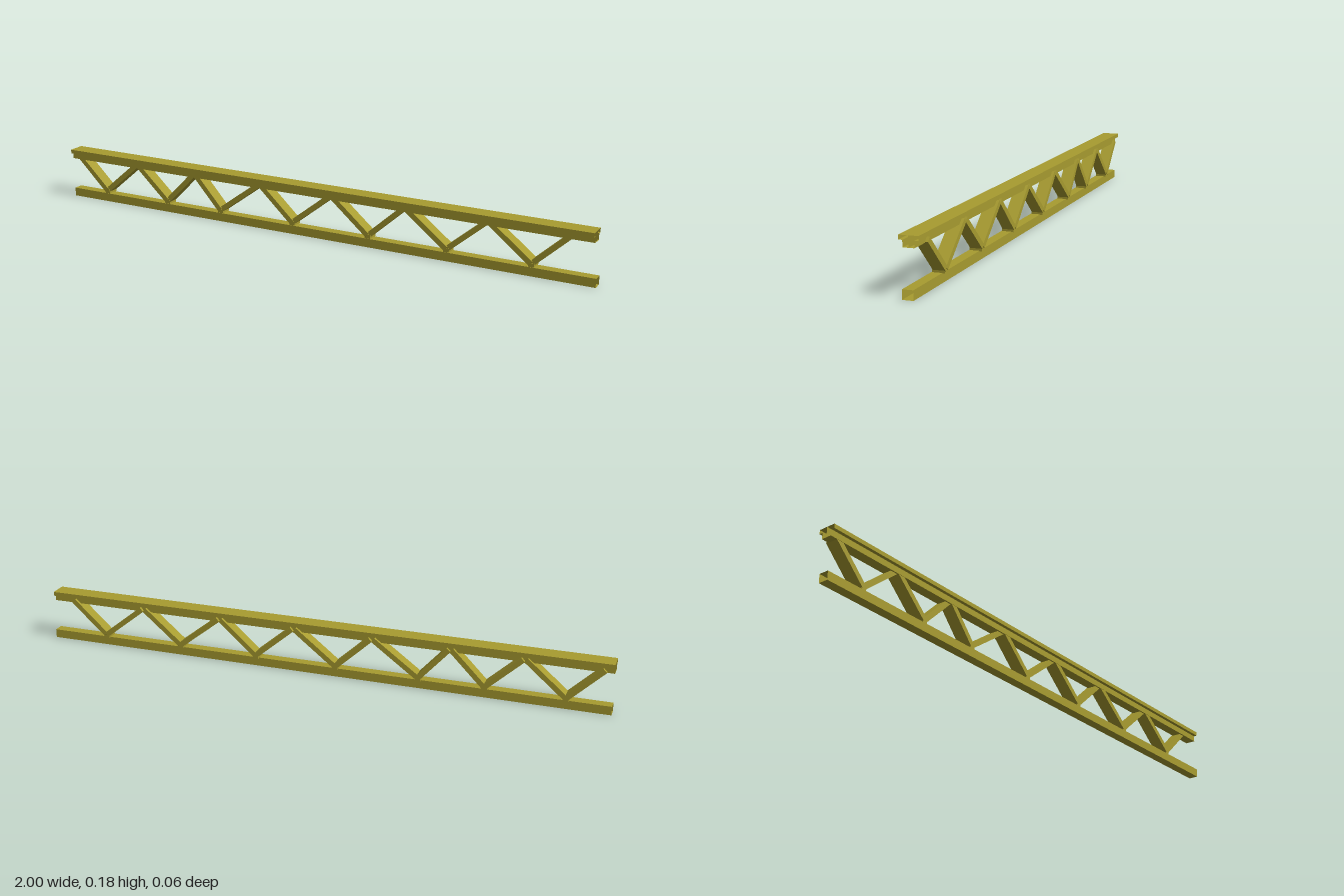
import * as THREE from 'three';

const mat = new THREE.MeshStandardMaterial({ color: 0xa89c30, side: THREE.DoubleSide, flatShading: true });

// Open-ended section: sweeps a closed (z, y) outline along x.
function section(outline, x0, x1) {
  const pos = [];
  outline.forEach(([z0, y0], i) => {
    const [z1, y1] = outline[(i + 1) % outline.length];
    pos.push(x0, y0, z0, x1, y0, z0, x1, y1, z1);
    pos.push(x0, y0, z0, x1, y1, z1, x0, y1, z1);
  });
  const geo = new THREE.BufferGeometry();
  geo.setAttribute('position', new THREE.Float32BufferAttribute(pos, 3));
  geo.computeVertexNormals();
  return geo;
}

export function createModel() {
  const group = new THREE.Group();
  const add = (name, geo) => {
    const mesh = new THREE.Mesh(geo, mat);
    mesh.name = name;
    group.add(mesh);
    return mesh;
  };

  // Top chord: two mirrored angles meeting on the centre line
  for (const s of [1, -1]) {
    const half = [[0, 0.18], [0, 0.145], [0.018, 0.145], [0.018, 0.166], [0.03, 0.166], [0.03, 0.18]]
      .map(([z, y]) => [z * s, y]);
    // Reverse the mirrored outline so its faces point outwards
    if (s > 0) half.reverse();
    add(s > 0 ? 'topChordFront' : 'topChordBack', section(half.reverse(), -1, 0.99));
  }

  // Bottom chord: open square tube
  add('bottomChord', section([[-0.017, 0], [-0.017, 0.03], [0.017, 0.03], [0.017, 0]].reverse(), -1, 1));

  // Sloping web member between two points, T thick and reaching from z0 to z1
  const T = 0.018;
  const brace = (name, xa, ya, xb, yb, z0, z1) => {
    const m = add(name, new THREE.BoxGeometry(Math.hypot(xb - xa, yb - ya), T, z1 - z0));
    m.position.set((xa + xb) / 2, (ya + yb) / 2, (z0 + z1) / 2);
    m.rotation.z = Math.atan2(yb - ya, xb - xa);
  };

  // Web: a V at each lower joint, running up to the neighbouring upper joints
  const lower = [-0.853, -0.586, -0.361, -0.072, 0.217, 0.5, 0.789];
  const upper = [-0.975, -0.714, -0.468, -0.2, 0.078, 0.35, 0.64, 0.918];
  lower.forEach((x, i) => {
    brace('fallingBrace', upper[i] + 0.005, 0.154, x - 0.002, 0.042, -0.027, 0.017);
    brace('risingBrace', x + 0.002, 0.042, upper[i + 1] - 0.005, 0.154, -0.027, 0.013);
    // Small foot joining the V to the bottom chord
    add('webFoot', new THREE.BoxGeometry(0.02, 0.015, 0.04)).position.set(x, 0.036, -0.005);
  });

  return group;
}
